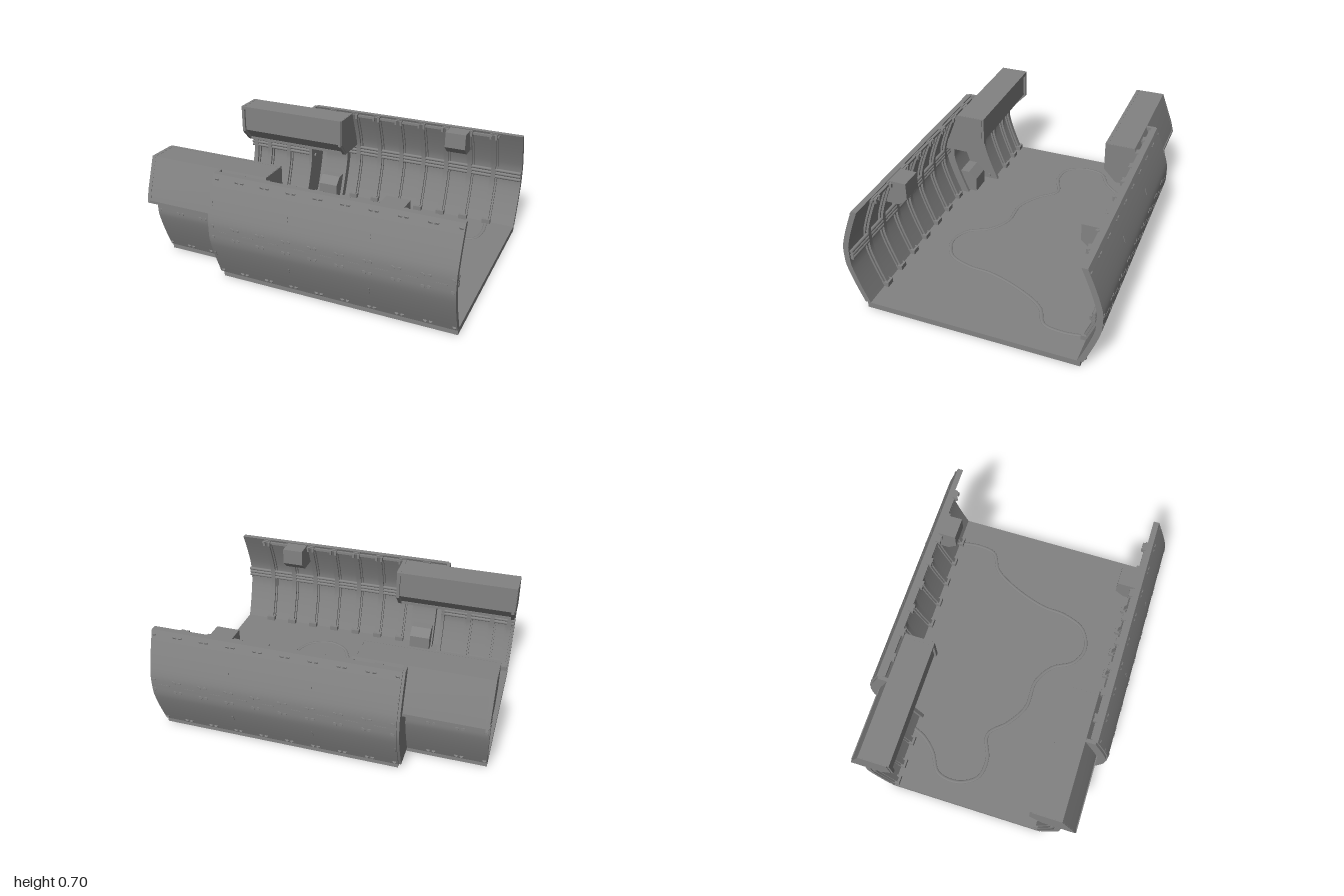
import * as THREE from 'three';
import { mergeGeometries, toCreasedNormals } from 'three/addons/utils/BufferGeometryUtils.js';

const darkGrey = new THREE.MeshStandardMaterial({ color: 0x828282 });
const PITCH = 1 / 6;      // frame spacing
const STEP = 0.16;        // how far the narrow section is set inwards

// Outer half-width of the bulged hull at height y
const hullZ = (y) => {
  const d = Math.min(1, Math.max(0, (Math.abs(y - 0.37) - 0.05) / 0.28));
  return 0.775 - 0.095 * Math.pow(d, 1.25);
};

// Cross-section of [z, y] points run along x from x0 to x1, on side s
function prism(pts, x0, x1, s = 1) {
  const shape = new THREE.Shape(pts.map(([z, y]) => new THREE.Vector2(z * s, y)));
  const g = new THREE.ExtrudeGeometry(shape, { depth: x1 - x0, bevelEnabled: false });
  g.rotateY(-Math.PI / 2).translate(x1, 0, 0);
  return toCreasedNormals(g, 0.5);
}

// Curved band following the hull, between two inward offsets
function band(outer, inner, y0, y1, x0, x1, s) {
  const n = 20, a = [], b = [];
  for (let i = 0; i <= n; i++) {
    const y = y0 + (y1 - y0) * i / n;
    a.push([hullZ(y) - outer, y]);
    b.unshift([hullZ(y) - inner, y]);
  }
  return prism([...a, ...b], x0, x1, s);
}

function box(x0, x1, y0, y1, z0, z1, s = 1) {
  return new THREE.BoxGeometry(x1 - x0, y1 - y0, z1 - z0)
    .translate((x0 + x1) / 2, (y0 + y1) / 2, s * (z0 + z1) / 2).toNonIndexed();
}

function rod(x0, x1, y, z, r) {
  return new THREE.CylinderGeometry(r, r, x1 - x0, 10)
    .rotateZ(Math.PI / 2).translate((x0 + x1) / 2, y, z);
}

function add(parent, name, geos) {
  const mesh = new THREE.Mesh(Array.isArray(geos) ? mergeGeometries(geos) : geos, darkGrey);
  mesh.name = name;
  parent.add(mesh);
}

// Frames with a flange and a web
function ribs(xs, off, top, s) {
  return xs.flatMap((x) => [
    band(off + 0.033, off + 0.048, 0.04, top, x - 0.026, x + 0.026, s),
    band(off + 0.033, off + 0.063, 0.04, top - 0.005, x - 0.015, x + 0.015, s)]);
}

function feet(xs, off, s) {
  const z = 0.64 - off;
  return xs.map((x) => box(x - 0.028, x + 0.028, 0.038, 0.07, z - 0.025, z + 0.02, s));
}

// Paired, tilted oval fasteners lying on the outside skin
function fasteners(xs, ys, off, s) {
  const out = [];
  for (const x of xs) for (const y of ys) for (const k of [-1, 1]) {
    const px = x + k * 0.017;
    if (Math.abs(px) > 0.985 || (off === 0 && px < -0.49)) continue;
    const slope = (hullZ(y + 0.01) - hullZ(y - 0.01)) / 0.02;
    out.push(new THREE.CylinderGeometry(0.012, 0.015, 0.006, 10)
      .scale(1, 1, 0.7).rotateY(k * s * 0.5).rotateX(s * (Math.PI / 2 - Math.atan(slope)))
      .translate(px, y, s * (hullZ(y) - off)));
  }
  return out;
}

function buildSide(s) {
  const side = new THREE.Group();
  side.name = s > 0 ? 'leftSide' : 'rightSide';
  const mainX = Array.from({ length: 8 }, (_, i) => -0.36 + i * 0.1675);
  const narrowX = [-0.965, -0.85, -0.69];

  // Hull skins and the step between them
  add(side, 'mainWall', band(0, 0.035, 0.04, 0.7, -0.505, 1, s));
  add(side, 'narrowWall', band(STEP, STEP + 0.035, 0.04, 0.43, -1, -0.5, s));
  add(side, 'stepBulkhead', band(0.01, STEP + 0.062, 0.035, 0.698, -0.52, -0.498, s));
  add(side, 'bulkheadBolts', [0.405, 0.335, 0.065].map((y) =>
    rod(-0.5, -0.488, y, s * (hullZ(y) - 0.165), 0.014)));

  // Frames, with a rail and clips along the top
  add(side, 'mainRibs', ribs(mainX, 0, 0.695, s));
  add(side, 'narrowRibs', ribs(narrowX, STEP, 0.425, s));
  add(side, 'ribFeet', [...feet(mainX, 0, s), ...feet(narrowX, STEP, s)]);
  add(side, 'topRail', box(-0.49, 0.85, 0.67, 0.685, 0.634, 0.655, s));
  add(side, 'ribClips', mainX.flatMap((x) => [-0.018, 0.018].map((d) =>
    box(x + d - 0.007, x + d + 0.007, 0.66, 0.69, 0.618, 0.65, s))));

  // Three pipes along the middle of each wall
  add(side, 'wallPipes', [0.358, 0.382, 0.406].flatMap((y) => [
    rod(-0.5, 1, y, s * 0.723, 0.011), rod(-1, -0.5, y, s * (0.723 - STEP), 0.011)]));

  // Outside fasteners, slots and the dashed seam
  const xsMain = Array.from({ length: 10 }, (_, i) => -0.5 + i * PITCH);
  const xsNarrow = [-1, -1 + PITCH, -1 + 2 * PITCH];
  add(side, 'wallFasteners', [
    ...fasteners(xsMain, [0.67, 0.405, 0.335, 0.065], 0, s),
    ...fasteners(xsNarrow, [0.4, 0.335, 0.065], STEP, s)]);
  add(side, 'wallSlots', [-0.495, 0, 0.5].flatMap((x) => [0.2, 0.54].map((y) =>
    band(-0.003, 0.005, y - 0.018, y + 0.018, x - 0.005, x + 0.005, s))));
  add(side, 'seamStrips', xsMain.slice(0, -1).map((x) =>
    box(x + 0.05, x + 0.12, 0.372, 0.377, 0.765, 0.777, s)));

  // Overhead locker with a recessed inner face
  const outline = [[0.61, 0.7], [0.42, 0.7], [0.42, 0.51], [0.5, 0.425], [0.71, 0.425], [0.685, 0.51]];
  const core = [[0.61, 0.699], [0.435, 0.699], [0.435, 0.518], [0.508, 0.44], [0.704, 0.44], [0.683, 0.51]];
  const locker = new THREE.Group();
  locker.name = 'overheadLocker';
  side.add(locker);
  add(locker, 'lockerBody', prism(core, -1, -0.2, s));
  add(locker, 'lockerEnds', [prism(outline, -0.996, -0.975, s), prism(outline, -0.225, -0.204, s)]);
  add(locker, 'lockerLips', [
    box(-0.98, -0.22, 0.678, 0.7, 0.42, 0.44, s),
    box(-0.98, -0.22, 0.425, 0.442, 0.5, 0.71, s)]);

  // Small wall boxes with a chamfered corner, and the panel behind the lower one
  add(side, 'upperWallBox', prism(
    [[0.68, 0.695], [0.535, 0.695], [0.535, 0.59], [0.59, 0.54], [0.715, 0.54]], 0.51, 0.65, s));
  add(side, 'lowerWallBox', prism(
    [[0.7, 0.2], [0.59, 0.2], [0.535, 0.15], [0.535, 0.05], [0.67, 0.05]], -0.43, -0.29, s));
  add(side, 'lowerBoxPanel', band(0.03, 0.09, 0.04, 0.45, -0.44, -0.27, s));
  return side;
}

export function createModel() {
  const model = new THREE.Group();
  model.name = 'fuselageSection';

  // Stepped deck, with very shallow hexagonal plates underneath
  const w = 0.665, n = w - STEP;
  const deck = new THREE.Shape([[-1, -n], [-0.5, -n], [-0.5, -w], [1, -w], [1, w], [-0.5, w], [-0.5, n], [-1, n]]
    .map(([x, z]) => new THREE.Vector2(x, z)));
  add(model, 'deck', new THREE.ExtrudeGeometry(deck, { depth: 0.0385, bevelEnabled: false })
    .rotateX(-Math.PI / 2).translate(0, 0.0015, 0));
  const plates = [];
  const r = 0.075, dx = r * 1.5, dz = r * Math.sqrt(3);
  for (let i = -8; i <= 8; i++) for (let j = -5; j <= 5; j++) {
    const x = i * dx, z = (j + (i & 1 ? 0.5 : 0)) * dz;
    if (Math.abs(x) > 0.925 || Math.abs(z) > (x < -0.42 ? n : w) - 0.066) continue;
    plates.push(new THREE.CylinderGeometry(r * 0.95, r * 0.94, 0.003, 6)
      .rotateY(Math.PI / 2).translate(x, 0.0015, z));
  }
  add(model, 'undersidePlates', plates);

  // Loose cable lying on the deck
  const path = [[-0.6, -0.5], [-0.64, -0.41], [-0.72, -0.32], [-0.84, -0.24], [-0.86, -0.1], [-0.79, 0.02],
    [-0.66, 0.04], [-0.5, -0.01], [-0.38, 0.1], [-0.24, 0.18], [-0.05, 0.19], [0.08, 0.27], [0.16, 0.4],
    [0.28, 0.45], [0.42, 0.39], [0.485, 0.24], [0.5, 0.08], [0.58, -0.15], [0.68, -0.31], [0.8, -0.38],
    [0.825, -0.5], [0.81, -0.63]].map(([x, z]) => new THREE.Vector3(x, 0, z));
  add(model, 'deckCable', new THREE.TubeGeometry(new THREE.CatmullRomCurve3(path), 160, 0.012, 8)
    .scale(1, 0.5, 1).translate(0, 0.039, 0));

  model.add(buildSide(1), buildSide(-1));
  return model;
}
